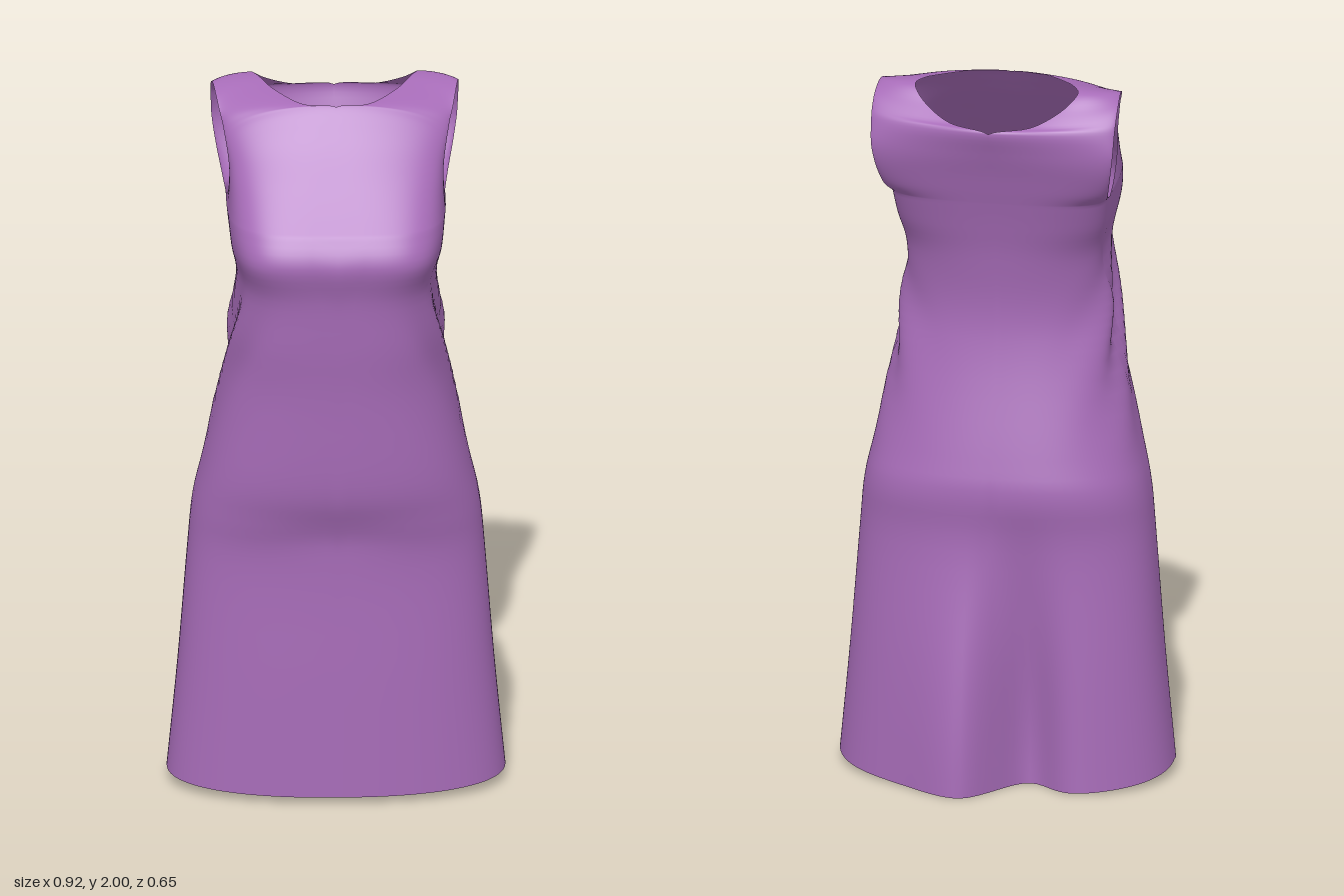
import * as THREE from 'three';
import { mergeVertices } from 'three/addons/utils/BufferGeometryUtils.js';

const COLS = 40, STEPS = 5;

// Side seam shared by front and back: y, half width, z
const seam = [
  [0.038, 0.46, 0], [0.35, 0.43, 0], [0.68, 0.404, 0], [0.82, 0.39, 0], [0.95, 0.362, 0],
  [1.2, 0.308, 0], [1.35, 0.285, -0.01], [1.5, 0.27, -0.04], [1.6, 0.288, -0.07], [1.678, 0.298, -0.09],
];
// Centre line of front and back at the same levels: y, z, roundness exponent
const frontLine = [
  [0.02, 0.21, 2.3], [0.35, 0.207, 2.4], [0.68, 0.204, 2.5], [0.82, 0.232, 2.5], [0.95, 0.26, 2.6],
  [1.2, 0.275, 2.8], [1.35, 0.29, 3.2], [1.5, 0.303, 3.6], [1.61, 0.326, 4.6], [1.69, 0.29, 4.3],
];
const backLine = [
  [0, -0.27, 2.3], [0.35, -0.257, 2.4], [0.68, -0.243, 2.4], [0.84, -0.26, 2.4], [0.95, -0.242, 2.3],
  [1.2, -0.18, 2.2], [1.35, -0.162, 2.1], [1.5, -0.18, 2.3], [1.6, -0.203, 2.8], [1.68, -0.225, 3.2],
];
// Over the shoulder: armhole edge x, y, z, then inner y, z, neckline x, exponent
const shoulder = [
  [0.298, 1.678, -0.09, 1.69, 0.29, 0, 4.3], [0.295, 1.7, -0.02, 1.74, 0.243, 0, 4],
  [0.292, 1.745, 0.038, 1.8, 0.188, 0, 3.4], [0.291, 1.8, 0.058, 1.87, 0.125, 0, 2.7],
  [0.295, 1.843, 0.05, 1.93, 0.075, 0, 2.3], [0.3, 1.873, 0.035, 1.972, 0.04, 0, 2],
  [0.304, 1.893, 0.021, 1.974, 0.03, 0.07, 1.8], [0.309, 1.917, 0.004, 1.978, 0.003, 0.115, 1.8],
  [0.317, 1.944, -0.02, 1.988, -0.065, 0.172, 1.8], [0.325, 1.97, -0.06, 1.998, -0.13, 0.208, 1.9],
  [0.332, 1.984, -0.112, 1.992, -0.175, 0.224, 1.8], [0.336, 1.966, -0.17, 1.955, -0.22, 0.185, 1.6],
  [0.337, 1.935, -0.207, 1.92, -0.265, 0.11, 1.45], [0.336, 1.9, -0.228, 1.905, -0.296, 0, 1.4],
  [0.333, 1.835, -0.243, 1.84, -0.277, 0, 1.6], [0.322, 1.765, -0.222, 1.77, -0.253, 0, 2.5],
  [0.308, 1.705, -0.172, 1.715, -0.236, 0, 3.1], [0.298, 1.678, -0.09, 1.68, -0.225, 0, 3.2],
];

// Body rows in the same layout as the shoulder rows
const bodyRows = (line) => seam.map(([y, w, z], i) => [w, y, z, line[i][0], line[i][1], 0, line[i][2]]);

// Smooth interpolation through key rows
function sample(keys) {
  const rows = [], last = keys.length - 1;
  const cr = (a, b, c, d, t) => b + 0.5 * t * (c - a + t * (2 * a - 5 * b + 4 * c - d + t * (3 * (b - c) + d - a)));
  for (let i = 0; i < last; i++) {
    const [a, b, c, d] = [keys[Math.max(i - 1, 0)], keys[i], keys[i + 1], keys[Math.min(i + 2, last)]];
    for (let s = 0; s < STEPS; s++) {
      const row = b.map((v, k) => cr(a[k], v, c[k], d[k], s / STEPS));
      row[5] = Math.max(0, row[5]);
      rows.push(row);
    }
  }
  rows.push(keys[last]);
  return rows;
}

const bell = (v) => Math.exp(-v * v);

// Cloth folds: a deep pleat at the back of the skirt and drag lines at the waist
function drape(x, y, z) {
  const low = 1 - THREE.MathUtils.smoothstep(y, 0.05, 0.85);
  const back = THREE.MathUtils.clamp(-z / 0.12, 0, 1);
  const lip = bell((x - 0.085) / (x < 0.085 ? 0.08 : 0.14));
  const pleat = low * back * (0.1 * bell((x + 0.09) / 0.085) - 0.062 * lip);
  const d = z - 0.6 * (y - 1.25);
  const side = THREE.MathUtils.smoothstep(Math.abs(x), 0.13, 0.25) * bell((y - 1.28) / 0.2);
  const drag = -0.014 * side * Math.cos(d * 36) * bell(d / 0.18);
  const belly = z > 0 ? -0.01 * bell((y - 0.79) / 0.06) * bell(x / 0.17) : 0;
  return [x + Math.sign(x) * drag, y, z + pleat + belly];
}

// One half of the dress: up the front, over the shoulder, down the back
function addHalf(rows, sign, positions, index) {
  const base = positions.length / 3, stride = COLS + 1;
  rows.forEach(([ex, ey, ez, cy, cz, x0, n]) => {
    for (let j = 0; j <= COLS; j++) {
      const t = (j / COLS) * Math.PI / 2;
      const s = j === 0 ? 0 : Math.sin(t) ** (2 / n);
      const k = j === COLS ? 0 : Math.cos(t) ** (2 / n);
      const x = sign * (x0 + (ex - x0) * s);
      positions.push(...drape(x, ey + (cy - ey) * k, ez + (cz - ez) * k));
    }
  });
  for (let i = 0; i < rows.length - 1; i++) {
    for (let j = 0; j < COLS; j++) {
      const a = base + i * stride + j, b = a + 1, c = a + stride, d = c + 1;
      if (sign > 0) index.push(a, b, d, a, d, c);
      else index.push(a, d, b, a, c, d);
    }
  }
}

export function createModel() {
  const rows = [
    ...sample(bodyRows(frontLine)),
    ...sample(shoulder).slice(1),
    ...sample(bodyRows(backLine)).reverse().slice(1),
  ];
  const positions = [], index = [];
  for (const sign of [1, -1]) addHalf(rows, sign, positions, index);

  let geometry = new THREE.BufferGeometry();
  geometry.setAttribute('position', new THREE.Float32BufferAttribute(positions, 3));
  geometry.setIndex(index);
  geometry = mergeVertices(geometry, 1e-4);
  geometry.computeVertexNormals();

  const cloth = new THREE.MeshStandardMaterial({ color: 0xa76cb8, side: THREE.DoubleSide });
  const dress = new THREE.Mesh(geometry, cloth);
  dress.name = 'sleevelessDress';
  const group = new THREE.Group();
  group.name = 'dress';
  group.add(dress);
  return group;
}
